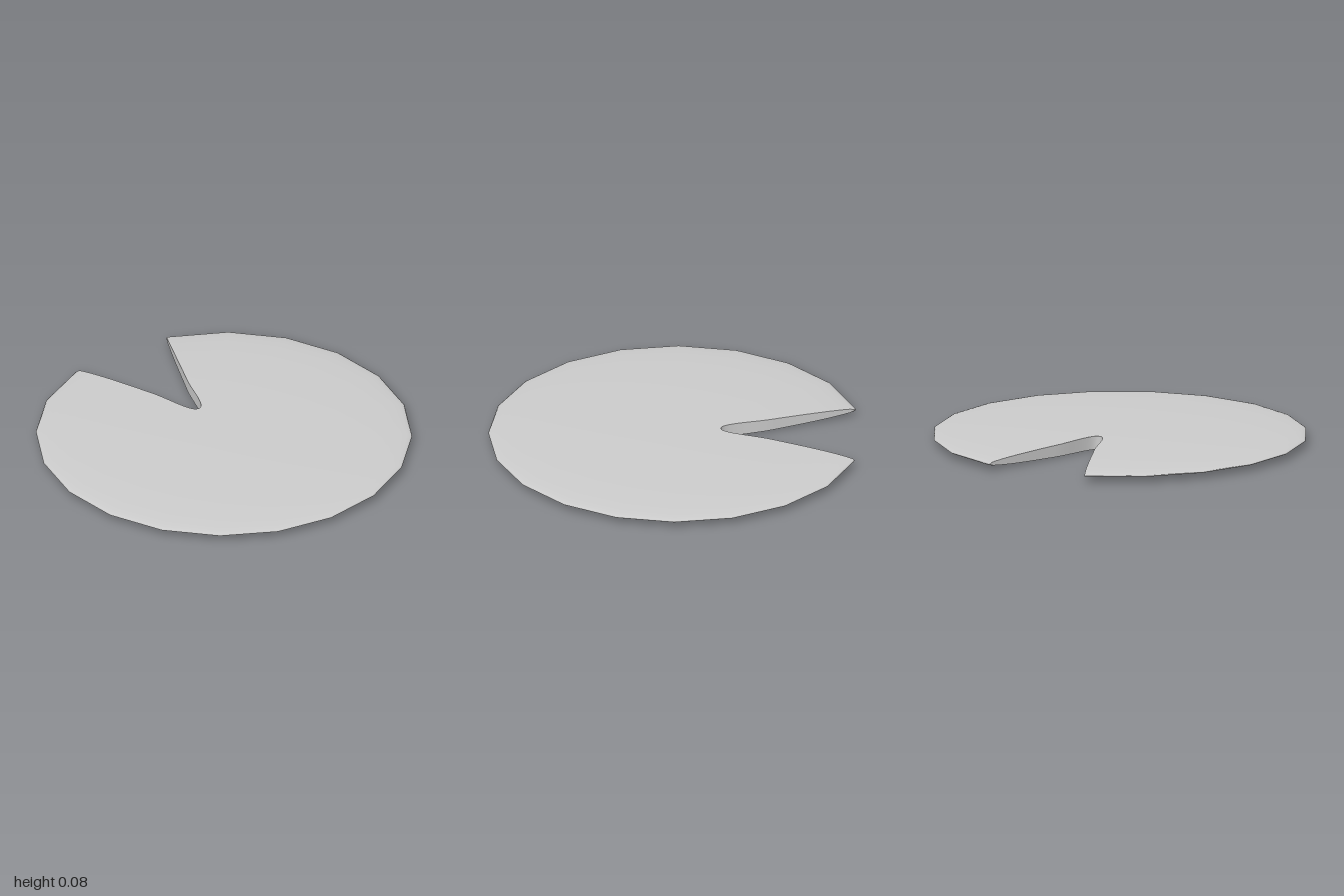
import * as THREE from 'three';
import { mergeVertices } from 'three/addons/utils/BufferGeometryUtils.js';

const HALF = 0.0375;      // half thickness of the lens
const CENTRE_Z = -0.03;   // centre of the round outline
const RINGS = 14;

// Outline seen from above, counter-clockwise, relative to the centre
function makeOutline() {
  const rim = [];
  for (let i = -9; i <= 9; i++) {
    const a = i * Math.PI / 10;
    rim.push(new THREE.Vector2(Math.sin(a), Math.cos(a)));
  }
  // soft tips where the rim meets the notch
  rim[0].set(-0.302, -0.947);
  rim[18].set(0.302, -0.947);
  const half = [[0.285, -0.95], [0.22, -0.787], [0.139, -0.575], [0.1, -0.47], [0.06, -0.33], [0.03, -0.257]];
  const points = [...half, [0, -0.237], ...half.map(([x, z]) => [-x, z]).reverse()];
  const notch = new THREE.SplineCurve(points.map(([x, z]) => new THREE.Vector2(x, z))).getPoints(48);
  return { rim, notch };
}

// Point on the squashed ellipsoid above (side 1) or below (side -1) an outline point
function surfacePoint(p, t, side) {
  const r = Math.min(1, p.length() * t);
  const onRim = t === 1 && p.length() > 0.985;
  const y = onRim ? 0 : side * HALF * Math.sqrt(1 - r * r);
  return [p.x * t, HALF + y, p.y * t + CENTRE_Z];
}

function buildGeometry(positions, indices) {
  let g = new THREE.BufferGeometry();
  g.setAttribute('position', new THREE.Float32BufferAttribute(positions, 3));
  g.setIndex(indices);
  g = mergeVertices(g, 1e-5);
  g.computeVertexNormals();
  return g;
}

// Upper and lower domed faces, joined along the faceted rim
function leafGeometry(outline) {
  const pos = [], idx = [], n = outline.length;
  for (const side of [1, -1]) {
    const base = pos.length / 3;
    for (let k = 0; k <= RINGS; k++) {
      const t = k === RINGS ? 1 : Math.sin(k / RINGS * Math.PI / 2);
      for (const p of outline) pos.push(...surfacePoint(p, t, side));
    }
    for (let k = 0; k < RINGS; k++) {
      for (let i = 0; i < n; i++) {
        const j = (i + 1) % n;
        const a = base + k * n + i, b = base + k * n + j, c = a + n, d = b + n;
        const tris = k === 0 ? [[a, c, d]] : [[a, c, d], [a, d, b]];
        for (const [u, v, w] of tris) idx.push(...(side > 0 ? [u, v, w] : [u, w, v]));
      }
    }
  }
  return buildGeometry(pos, idx);
}

// Upright wall that closes the notch
function wallGeometry(path) {
  const pos = [], idx = [];
  path.forEach((p, i) => {
    pos.push(...surfacePoint(p, 1, -1), ...surfacePoint(p, 1, 1));
    if (i) {
      const a = 2 * i - 2;
      idx.push(a, a + 2, a + 3, a, a + 3, a + 1);
    }
  });
  return buildGeometry(pos, idx);
}

export function createModel() {
  const group = new THREE.Group();
  group.name = 'notchedPad';
  const material = new THREE.MeshStandardMaterial({ color: 0xcccccc });
  const { rim, notch } = makeOutline();

  const leaf = new THREE.Mesh(leafGeometry([...rim, ...notch]), material);
  leaf.name = 'padBody';

  const wall = new THREE.Mesh(wallGeometry([rim[18], ...notch, rim[0]]), material);
  wall.name = 'notchWall';

  group.add(leaf, wall);
  return group;
}
